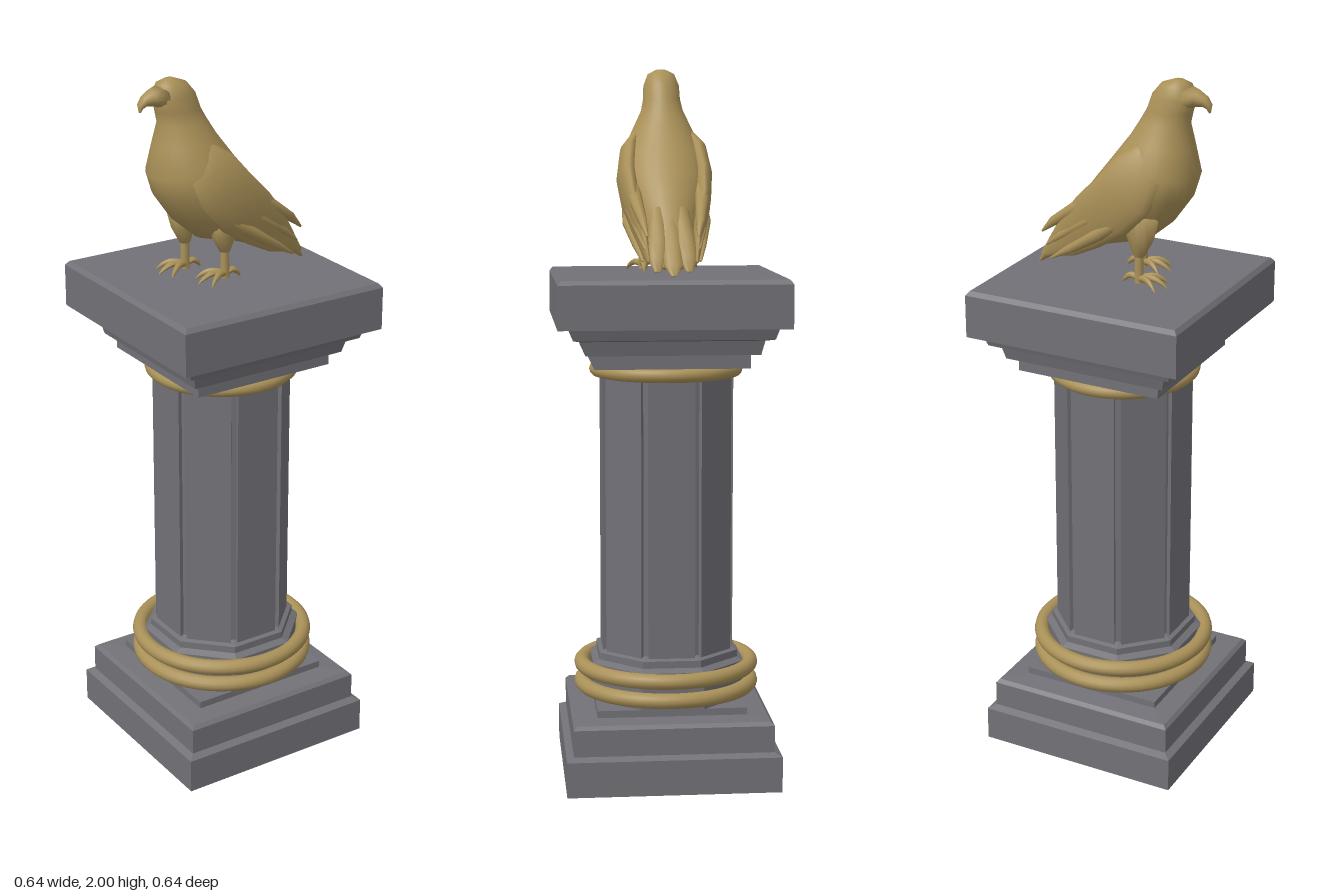
import * as THREE from 'three';

const stone = new THREE.MeshStandardMaterial({ color: 0x727177, side: THREE.DoubleSide });
stone.name = 'grey stone';
const gold = new THREE.MeshStandardMaterial({ color: 0xaa9158 });
gold.name = 'old gold';

function add(group, name, geometry, material) {
  const mesh = new THREE.Mesh(geometry, material);
  mesh.name = name;
  group.add(mesh);
  return mesh;
}

// Faceted moulding with n flat sides; profile holds [distance to the flat, height]
function moulding(profile, n) {
  const k = 1 / Math.cos(Math.PI / n);
  const points = profile.map(([r, y]) => new THREE.Vector2(r * k, y));
  const flat = new THREE.LatheGeometry(points, n).rotateY(Math.PI / n).toNonIndexed();
  flat.computeVertexNormals();
  return flat;
}

// Loft of ellipses: each section is [ax, ay, bx, by, halfWidth, zCentre],
// a and b being the two ends of its axis in the side plane
function loft(sections, sides = 20) {
  const pos = [], index = [];
  sections.forEach(([ax, ay, bx, by, w, z = 0]) => {
    for (let j = 0; j < sides; j++) {
      const t = (j / sides) * Math.PI * 2, c = Math.cos(t) / 2;
      pos.push((ax + bx) / 2 + c * (ax - bx), (ay + by) / 2 + c * (ay - by), z + w * Math.sin(t));
    }
  });
  const last = (sections.length - 1) * sides;
  for (let i = 0; i < sections.length - 1; i++) {
    for (let j = 0; j < sides; j++) {
      const a = i * sides + j, b = i * sides + ((j + 1) % sides);
      index.push(a, b, a + sides, b, b + sides, a + sides);
    }
  }
  for (let j = 1; j < sides - 1; j++) index.push(0, j + 1, j, last, last + j, last + j + 1);
  const g = new THREE.BufferGeometry();
  g.setAttribute('position', new THREE.Float32BufferAttribute(pos, 3));
  g.setIndex(index);
  g.computeVertexNormals();
  return g;
}

// Octagonal shaft with a narrow groove along each corner
function shaftGeometry(y0, y1) {
  const shape = new THREE.Shape();
  for (let i = 0; i < 8; i++) {
    const a = (i * Math.PI) / 4, c = Math.cos(a), s = Math.sin(a);
    [[0.185, -0.066], [0.185, 0.066], [0.174, 0.064]].forEach(([r, t], k) => {
      const x = r * c - t * s, y = r * s + t * c;
      if (i + k === 0) shape.moveTo(x, y); else shape.lineTo(x, y);
    });
    const b = a + Math.PI / 4;
    shape.lineTo(0.174 * Math.cos(b) + 0.064 * Math.sin(b), 0.174 * Math.sin(b) - 0.064 * Math.cos(b));
  }
  shape.closePath();
  return new THREE.ExtrudeGeometry(shape, { depth: y1 - y0, bevelEnabled: false })
    .rotateX(-Math.PI / 2).translate(0, y0, 0);
}

function buildPedestal() {
  const g = new THREE.Group();
  g.name = 'pedestal';
  // Hollow stepped base, open underneath
  add(g, 'base', moulding([[0.3, 0], [0.3, 0.1], [0.28, 0.11], [0.28, 0.185], [0.27, 0.195],
    [0.21, 0.2], [0.21, 0.22], [0, 0.22]], 4), stone);
  add(g, 'shaftFoot', moulding([[0.215, 0.22], [0.215, 0.325], [0.197, 0.335], [0.197, 0.355], [0.17, 0.365]], 8), stone);
  add(g, 'shaft', shaftGeometry(0.34, 1.19), stone);
  add(g, 'capital', moulding([[0, 1.18], [0.215, 1.18], [0.215, 1.22], [0.24, 1.22], [0.25, 1.26],
    [0.275, 1.265], [0.285, 1.295], [0.318, 1.297], [0.318, 1.418], [0.308, 1.43], [0, 1.43]], 4), stone);
  [[0.253, 0.243, 0.022], [0.308, 0.243, 0.022], [1.16, 0.198, 0.02]].forEach(([y, r, tube]) =>
    add(g, 'goldRing', new THREE.TorusGeometry(r, tube, 12, 56).rotateX(Math.PI / 2).translate(0, y, 0), gold));
  return g;
}

// One leg with thigh, shank and four toes; side is +1 or -1 in z
function buildLeg(x, side) {
  const g = new THREE.Group();
  g.name = side > 0 ? 'nearLeg' : 'farLeg';
  const z = 0.062 * side;
  add(g, 'thigh', loft([
    [x + 0.07, 1.66, x - 0.06, 1.63, 0.045, z], [x + 0.035, 1.57, x - 0.04, 1.56, 0.032, z],
    [x + 0.015, 1.515, x - 0.015, 1.515, 0.014, z]], 14), gold);
  add(g, 'shank', new THREE.CylinderGeometry(0.012, 0.013, 0.09, 10).translate(x, 1.485, z), gold);
  [[Math.PI, 0.085], [Math.PI - 0.55, 0.08], [Math.PI + 0.55, 0.08], [0, 0.05]].forEach(([a, len]) => {
    const at = (d, y) => new THREE.Vector3(x + Math.cos(a) * d, y, z + Math.sin(a) * d);
    const path = new THREE.CatmullRomCurve3([at(0, 1.452), at(len * 0.5, 1.458), at(len * 0.85, 1.446), at(len, 1.435)]);
    const toe = new THREE.TubeGeometry(path, 10, 0.0095, 8);
    // Taper each toe into its claw
    const p = toe.attributes.position, v = new THREE.Vector3();
    for (let i = 0; i < p.count; i++) {
      const u = Math.floor(i / 9) / 10, c = path.getPointAt(u);
      v.fromBufferAttribute(p, i).sub(c).multiplyScalar(1 - 0.85 * u ** 3).add(c);
      p.setXYZ(i, v.x, v.y, v.z);
    }
    toe.computeVertexNormals();
    add(g, 'toe', toe, gold);
  });
  return g;
}

function buildBird() {
  const g = new THREE.Group();
  g.name = 'bird';
  add(g, 'headAndBody', loft([
    [-0.15, 2.0, -0.18, 1.998, 0.014], [-0.115, 1.987, -0.2, 1.987, 0.038],
    [-0.09, 1.957, -0.213, 1.95, 0.051], [-0.075, 1.915, -0.203, 1.915, 0.053],
    [-0.058, 1.885, -0.195, 1.88, 0.06], [-0.03, 1.84, -0.207, 1.82, 0.085],
    [0.02, 1.775, -0.222, 1.74, 0.118], [0.07, 1.712, -0.203, 1.68, 0.126],
    [0.11, 1.66, -0.15, 1.605, 0.115], [0.14, 1.61, -0.085, 1.55, 0.095],
    [0.165, 1.567, 0.03, 1.52, 0.075], [0.2, 1.517, 0.13, 1.48, 0.052],
    [0.235, 1.465, 0.215, 1.45, 0.03]], 28), gold);
  // Hooked beak
  add(g, 'beak', loft([
    [-0.185, 1.915, -0.185, 1.99, 0.042], [-0.212, 1.932, -0.222, 1.977, 0.026],
    [-0.235, 1.935, -0.245, 1.963, 0.018], [-0.246, 1.93, -0.259, 1.943, 0.012],
    [-0.252, 1.919, -0.257, 1.921, 0.003]], 16), gold);
  // Tail fan: a long middle feather with a shorter one each side
  [-1, 0, 1].forEach((s) => {
    const d = Math.abs(s) * 0.02, z = s * 0.032;
    add(g, 'tailFeather', loft([
      [0.13, 1.62, 0.08, 1.57, 0.025, z], [0.195, 1.53, 0.165, 1.495, 0.03, z * 1.2],
      [0.24 - d, 1.47 + d, 0.215 - d, 1.458 + d / 2, 0.026, z * 1.3],
      [0.26 - d, 1.439 + d / 2, 0.25 - d, 1.436 + d / 2, 0.01, z * 1.35]], 12), gold);
  });
  [-1, 1].forEach((s) => {
    // Folded wing
    add(g, 'wing', loft([
      [-0.09, 1.835, -0.13, 1.81, 0.012, 0.07 * s], [-0.03, 1.8, -0.16, 1.735, 0.028, 0.095 * s],
      [0.025, 1.735, -0.13, 1.655, 0.03, 0.105 * s], [0.09, 1.67, -0.06, 1.585, 0.025, 0.1 * s],
      [0.148, 1.598, 0.03, 1.53, 0.02, 0.086 * s], [0.185, 1.54, 0.11, 1.49, 0.014, 0.074 * s],
      [0.222, 1.478, 0.21, 1.468, 0.005, 0.066 * s]], 18), gold);
    // Long flight feathers overlapping along the wing
    for (let i = 0; i < 3; i++) {
      const x = 0.03 * i, y = 0.035 * i, z = s * (0.107 - 0.006 * i);
      add(g, 'flightFeather', loft([
        [-0.06 + x, 1.65 + y, -0.085 + x, 1.63 + y, 0.012, z],
        [0.04 + x, 1.585 + y, 0.01 + x, 1.56 + y, 0.02, z * 0.98],
        [0.13 + x * 0.9, 1.52 + y, 0.105 + x * 0.9, 1.505 + y, 0.013, z * 0.84],
        [0.185 + x * 0.55, 1.475 + y, 0.18 + x * 0.55, 1.471 + y, 0.004, z * 0.74]], 10), gold);
    }
  });
  g.add(buildLeg(-0.08, -1), buildLeg(-0.03, 1));
  return g;
}

export function createModel() {
  const model = new THREE.Group();
  model.name = 'birdOnPedestal';
  model.add(buildPedestal(), buildBird());
  return model;
}
